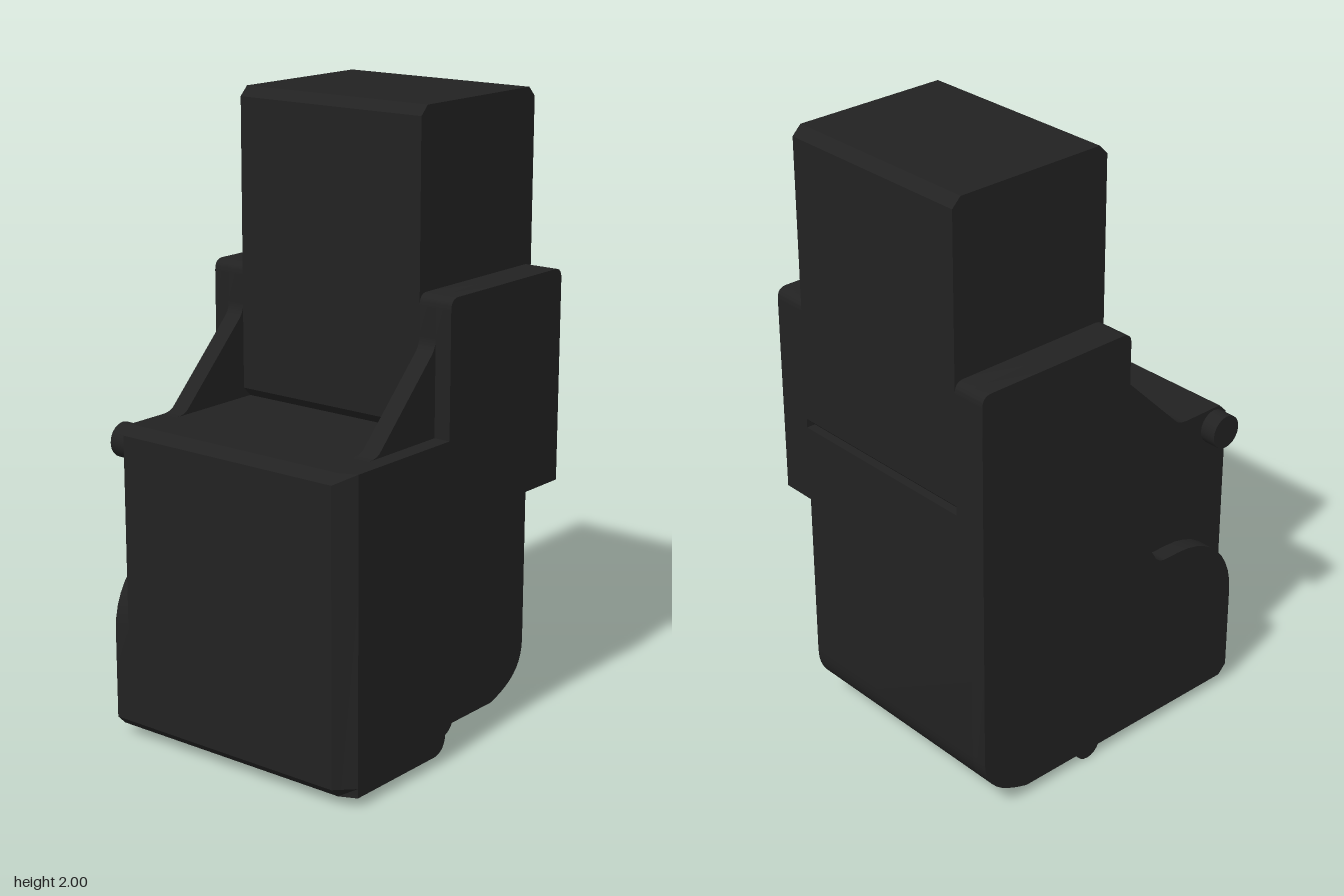
import * as THREE from 'three';
import { toCreasedNormals } from 'three/addons/utils/BufferGeometryUtils.js';

export function createModel() {
  const model = new THREE.Group();
  model.name = 'relayHousing';
  const material = new THREE.MeshStandardMaterial({ color: 0x222222 });

  const FRONT = 0.53, BACK = -0.53, STEP = 0.045; // depths along z
  const FLOOR = 0.03, DECK = 1.02, SHOULDER = 1.45; // heights
  const CORE = 0.345, RIB = 0.405, SIDE = 0.46; // half widths along x

  const add = (name, geometry) => {
    const mesh = new THREE.Mesh(toCreasedNormals(geometry, 0.5), material);
    mesh.name = name;
    model.add(mesh);
    return mesh;
  };

  // Extrude a side profile drawn in (z, y) from x0 to x1
  const slab = (shape, x0, x1) => {
    const g = new THREE.ExtrudeGeometry(shape, { depth: x1 - x0, bevelEnabled: false, curveSegments: 10 });
    return g.rotateY(-Math.PI / 2).translate(x1, 0, 0);
  };
  const polygon = (points) => new THREE.Shape(points.map(([z, y]) => new THREE.Vector2(z, y)));

  // Rounded lower back corner, drawn from the floor up to the back face
  const backCorner = (s) => {
    s.lineTo(-0.36, FLOOR);
    s.bezierCurveTo(-0.46, 0.06, BACK, 0.1, BACK, 0.2);
  };
  // Rounded shoulder, drawn from the back face to the step
  const shoulder = (s) => {
    s.lineTo(BACK, SHOULDER - 0.035);
    s.quadraticCurveTo(BACK, SHOULDER, BACK + 0.035, SHOULDER);
    s.lineTo(STEP - 0.035, SHOULDER);
    s.quadraticCurveTo(STEP, SHOULDER, STEP, SHOULDER - 0.035);
  };
  // Chamfered front of the lower body, from deck to floor
  const frontFace = (s) => {
    s.lineTo(FRONT - 0.03, DECK);
    s.lineTo(FRONT, DECK - 0.03);
    s.lineTo(FRONT, FLOOR + 0.03);
    s.lineTo(FRONT - 0.03, FLOOR);
  };

  // Lower body
  const body = new THREE.Shape();
  body.moveTo(FRONT - 0.03, FLOOR);
  backCorner(body);
  body.lineTo(BACK, DECK);
  frontFace(body);
  add('lowerBody', slab(body, -RIB, CORE));

  // Tall upper block, chamfered at its top and bottom edges
  const c = 0.03;
  add('upperBlock', slab(polygon([
    [STEP - c, DECK], [STEP, DECK + c], [STEP, 2 - c], [STEP - c, 2],
    [BACK + c, 2], [BACK, 2 - c], [BACK, DECK + c], [BACK + c, DECK],
  ]), -CORE, CORE));

  // Left side panel with its lower back recess
  const leftPanel = new THREE.Shape();
  leftPanel.moveTo(FRONT - 0.03, FLOOR);
  leftPanel.lineTo(0.1, FLOOR);
  leftPanel.quadraticCurveTo(STEP, 0.035, STEP, 0.1);
  leftPanel.lineTo(STEP, 0.47);
  leftPanel.bezierCurveTo(STEP, 0.65, -0.09, 0.765, -0.27, 0.765);
  leftPanel.lineTo(BACK, 0.765);
  shoulder(leftPanel);
  leftPanel.lineTo(STEP, DECK);
  frontFace(leftPanel);
  add('leftPanelInner', slab(leftPanel, CORE, RIB));

  // The outer layer is pulled back to chamfer the front vertical edge
  const outer = slab(leftPanel, RIB, SIDE);
  const p = outer.attributes.position;
  for (let i = 0; i < p.count; i++) {
    if (p.getX(i) > SIDE - 0.01) p.setZ(i, Math.min(p.getZ(i), 0.475));
  }
  outer.computeVertexNormals();
  add('leftPanelOuter', outer);

  // Right shoulder above the body
  const rightShoulder = new THREE.Shape();
  rightShoulder.moveTo(STEP, DECK);
  rightShoulder.lineTo(BACK, DECK);
  shoulder(rightShoulder);
  add('rightShoulder', slab(rightShoulder, -RIB, -CORE));

  // Right outer panel, cut away at the front with a rounded foot
  const rightPanel = new THREE.Shape();
  rightPanel.moveTo(FRONT - 0.03, FLOOR);
  backCorner(rightPanel);
  shoulder(rightPanel);
  rightPanel.lineTo(STEP, 0.87);
  rightPanel.quadraticCurveTo(STEP, 0.84, 0.065, 0.81);
  rightPanel.lineTo(0.175, 0.63);
  rightPanel.quadraticCurveTo(0.19, 0.6, 0.23, 0.6);
  rightPanel.lineTo(0.28, 0.6);
  rightPanel.bezierCurveTo(0.43, 0.6, FRONT, 0.49, FRONT, 0.35);
  rightPanel.lineTo(FRONT, FLOOR + 0.03);
  add('rightPanel', slab(rightPanel, -SIDE, -RIB));

  // Sloping ribs between deck and shoulders
  const rib = new THREE.Shape();
  rib.moveTo(STEP, DECK);
  rib.lineTo(STEP, 1.32);
  rib.quadraticCurveTo(STEP, 1.295, 0.065, 1.275);
  rib.lineTo(0.305, 1.037);
  rib.quadraticCurveTo(0.32, DECK, 0.36, DECK);
  add('leftRib', slab(rib, CORE, RIB));
  add('rightRib', slab(rib, -RIB, -CORE));

  // Side pin and the round bar under the floor
  const rod = (name, r, x0, x1, y, z) => {
    const g = new THREE.CylinderGeometry(r, r, x1 - x0, 20).rotateZ(Math.PI / 2);
    add(name, g.translate((x0 + x1) / 2, y, z));
  };
  rod('sidePin', 0.055, -SIDE, -RIB, 0.957, 0.475);
  rod('bottomBar', 0.05, -SIDE, CORE, 0.05, -0.1);

  return model;
}
